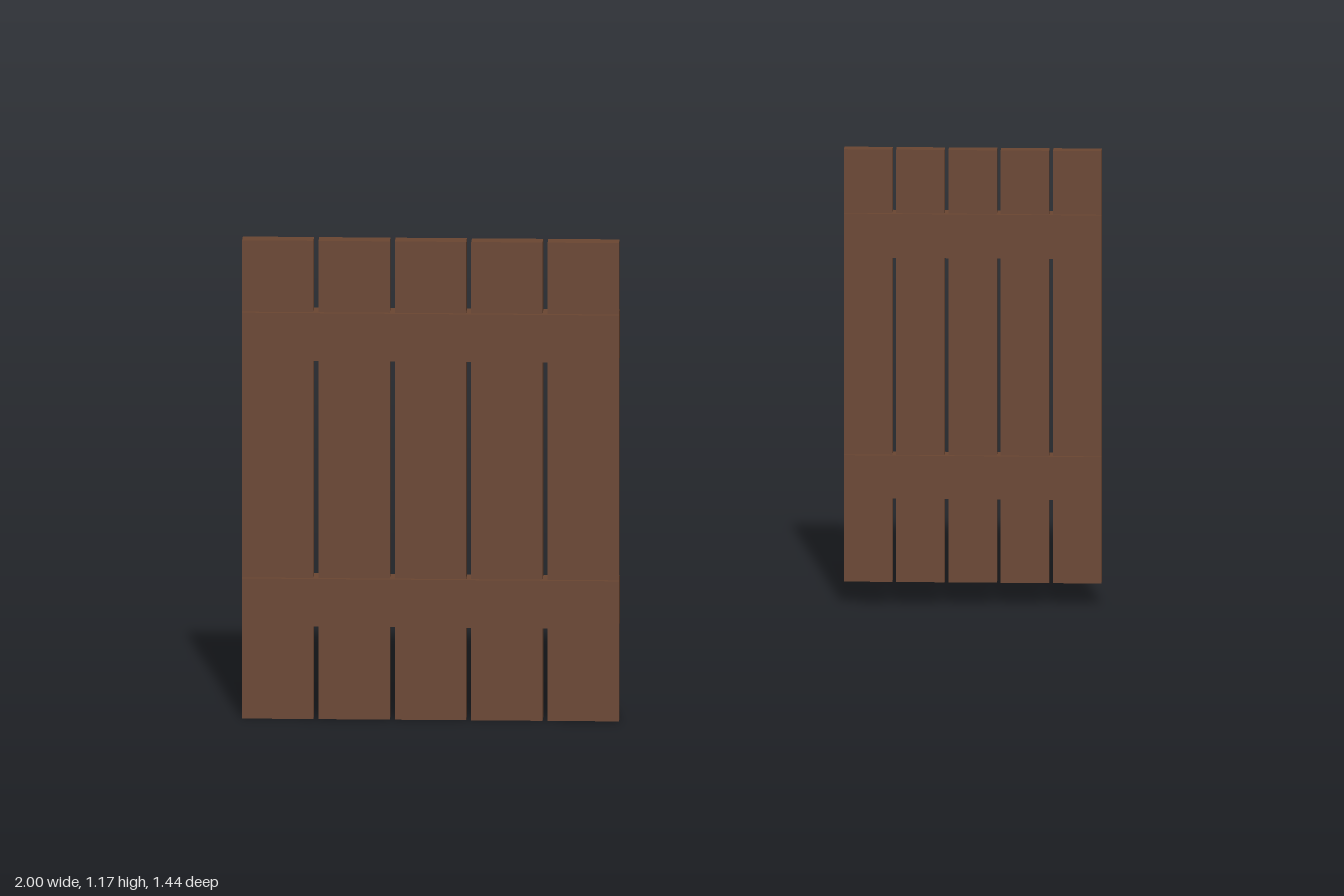
import * as THREE from 'three';

const wood = new THREE.MeshStandardMaterial({ color: 0x6b4632, flatShading: true });

// Box given by its limits on each axis
function block(name, [x0, x1], [y0, y1], [z0, z1]) {
  const mesh = new THREE.Mesh(new THREE.BoxGeometry(x1 - x0, y1 - y0, z1 - z0), wood);
  mesh.position.set((x0 + x1) / 2, (y0 + y1) / 2, (z0 + z1) / 2);
  mesh.name = name;
  return mesh;
}

function plankDoor({ name, x, y, plankZ, railZ, rails, handle, gap }) {
  const door = new THREE.Group();
  door.name = name;
  const count = 5;
  const width = (x[1] - x[0] - gap * (count - 1)) / count;

  // upright planks with narrow gaps
  for (let i = 0; i < count; i++) {
    const left = x[0] + i * (width + gap);
    door.add(block(`plank${i + 1}`, [left, left + width], y, plankZ));
  }
  // cross rails, standing proud on both faces
  rails.forEach((railY, i) => door.add(block(i ? 'upperRail' : 'lowerRail', x, railY, railZ)));
  // handle on the back face
  door.add(block('handle', ...handle));
  return door;
}

export function createModel() {
  const model = new THREE.Group();
  model.name = 'plankDoors';
  model.add(
    plankDoor({
      name: 'largeDoor',
      x: [-1, -0.1], y: [0, 1.166], gap: 0.012,
      plankZ: [0.665, 0.709], railZ: [0.653, 0.721],
      rails: [[0.228, 0.344], [0.876, 0.992]],
      handle: [[-0.928, -0.885], [0.545, 0.621], [0.638, 0.665]],
    }),
    plankDoor({
      name: 'smallDoor',
      x: [0.385, 1], y: [0.057, 1.111], gap: 0.009,
      plankZ: [-0.701, -0.67], railZ: [-0.71, -0.661],
      rails: [[0.262, 0.367], [0.849, 0.956]],
      handle: [[0.43, 0.465], [0.551, 0.617], [-0.72, -0.701]],
    }),
  );
  return model;
}
